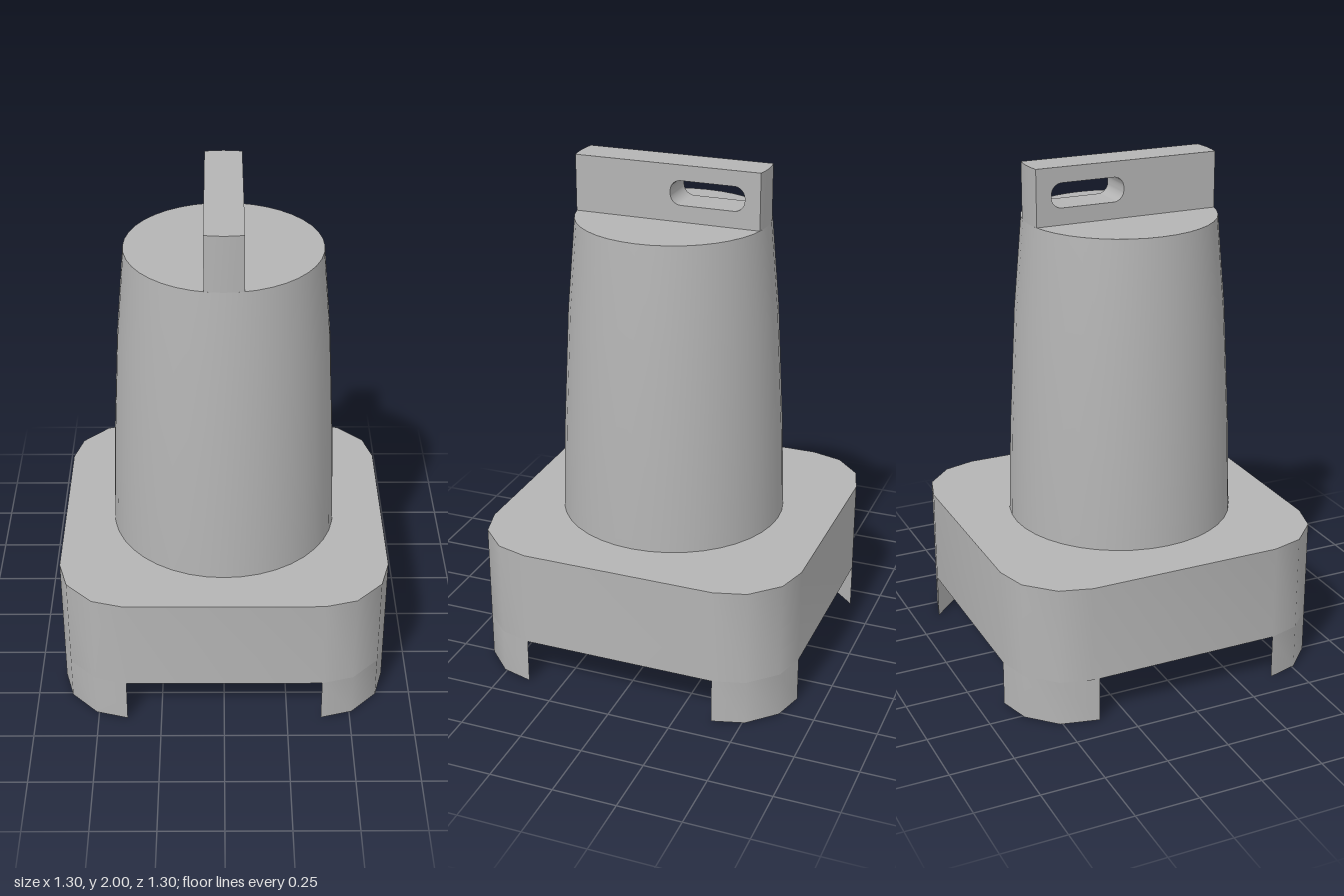
import * as THREE from 'three';
import { toCreasedNormals } from 'three/addons/utils/BufferGeometryUtils.js';

const HALF = 0.648, FLAT = 0.385;      // base half width, half length of its straight sides
const BASE_Y = 0.18, BASE_TOP = 0.565, TOWER_TOP = 1.78;
const TOWER_R = 0.378, TOWER_Z = 0.02; // radius at the top, offset of the tower axis

// Extrudes a plan outline of [x, z] points from y0 up to y1
function prism(points, y0, y1) {
  const shape = new THREE.Shape(points.map(([x, z]) => new THREE.Vector2(x, -z)));
  const geometry = new THREE.ExtrudeGeometry(shape, { depth: y1 - y0, bevelEnabled: false });
  geometry.rotateX(-Math.PI / 2).translate(0, y0, 0);
  return toCreasedNormals(geometry, 0.62);
}

// Rounded corner of the base in one quadrant, from the x side to the z side
function corner(sx, sz, sideEnd = FLAT) {
  return [[HALF, sideEnd], [0.613, 0.51], [0.51, 0.613], [FLAT, HALF]]
    .map(([x, z]) => [x * sx, z * sz]);
}

export function createModel() {
  const model = new THREE.Group();
  const grey = new THREE.MeshStandardMaterial({ color: 0xb4b4b4 });
  grey.name = 'grey';

  const add = (name, geometry, parent = model) => {
    const mesh = new THREE.Mesh(geometry, grey);
    mesh.name = name;
    parent.add(mesh);
    return mesh;
  };

  // Base block with rounded corners
  const outline = [
    ...corner(1, 1), ...corner(-1, 1).reverse(),
    ...corner(-1, -1), ...corner(1, -1).reverse(),
  ];
  add('base', prism(outline, BASE_Y, BASE_TOP));

  // Corner feet, each cut off by a flat diagonal inner face
  for (const sx of [1, -1]) {
    for (const sz of [1, -1]) {
      const sideEnd = sx < 0 && sz < 0 ? 0.36 : FLAT;
      add('foot', prism(corner(sx, sz, sideEnd), 0, BASE_Y));
    }
  }

  // Tapered tower with a slight bulge, closed by a flat top
  const tower = new THREE.Group();
  tower.name = 'tower';
  tower.position.z = TOWER_Z;
  model.add(tower);
  const profile = [[0.448, BASE_TOP], [0.437, 0.92], [0.41, 1.42], [TOWER_R, TOWER_TOP]]
    .map(([r, y]) => new THREE.Vector2(r, y));
  add('towerWall', new THREE.LatheGeometry(profile, 40), tower);
  const cap = new THREE.CircleGeometry(TOWER_R, 40);
  cap.rotateX(-Math.PI / 2).translate(0, TOWER_TOP, 0);
  add('towerTop', cap, tower);

  // Handle bar with a rounded slot near the back
  const bar = new THREE.Shape();
  bar.moveTo(-TOWER_R, TOWER_TOP);
  bar.lineTo(TOWER_R, TOWER_TOP);
  bar.lineTo(TOWER_R, 2);
  bar.lineTo(-TOWER_R, 2);
  bar.closePath();
  const slot = new THREE.Path();
  const r = 0.042, z0 = -0.31, z1 = -0.015, y0 = 1.845, y1 = 1.94;
  slot.absarc(z1 - r, y1 - r, r, Math.PI / 2, 0, true);
  slot.absarc(z1 - r, y0 + r, r, 0, -Math.PI / 2, true);
  slot.absarc(z0 + r, y0 + r, r, -Math.PI / 2, -Math.PI, true);
  slot.absarc(z0 + r, y1 - r, r, Math.PI, Math.PI / 2, true);
  bar.holes.push(slot);
  const width = 0.146;
  const handle = new THREE.ExtrudeGeometry(bar, {
    depth: width, steps: 4, curveSegments: 5, bevelEnabled: false,
  });
  handle.rotateY(-Math.PI / 2).translate(width / 2, 0, 0);

  // Bend the bar ends to follow the tower rim
  const pos = handle.attributes.position;
  for (let i = 0; i < pos.count; i++) {
    const z = pos.getZ(i);
    if (Math.abs(z) > TOWER_R - 0.001) {
      pos.setZ(i, Math.sign(z) * Math.sqrt(TOWER_R ** 2 - pos.getX(i) ** 2));
    }
  }
  add('handle', toCreasedNormals(handle, 0.62), tower);

  return model;
}
